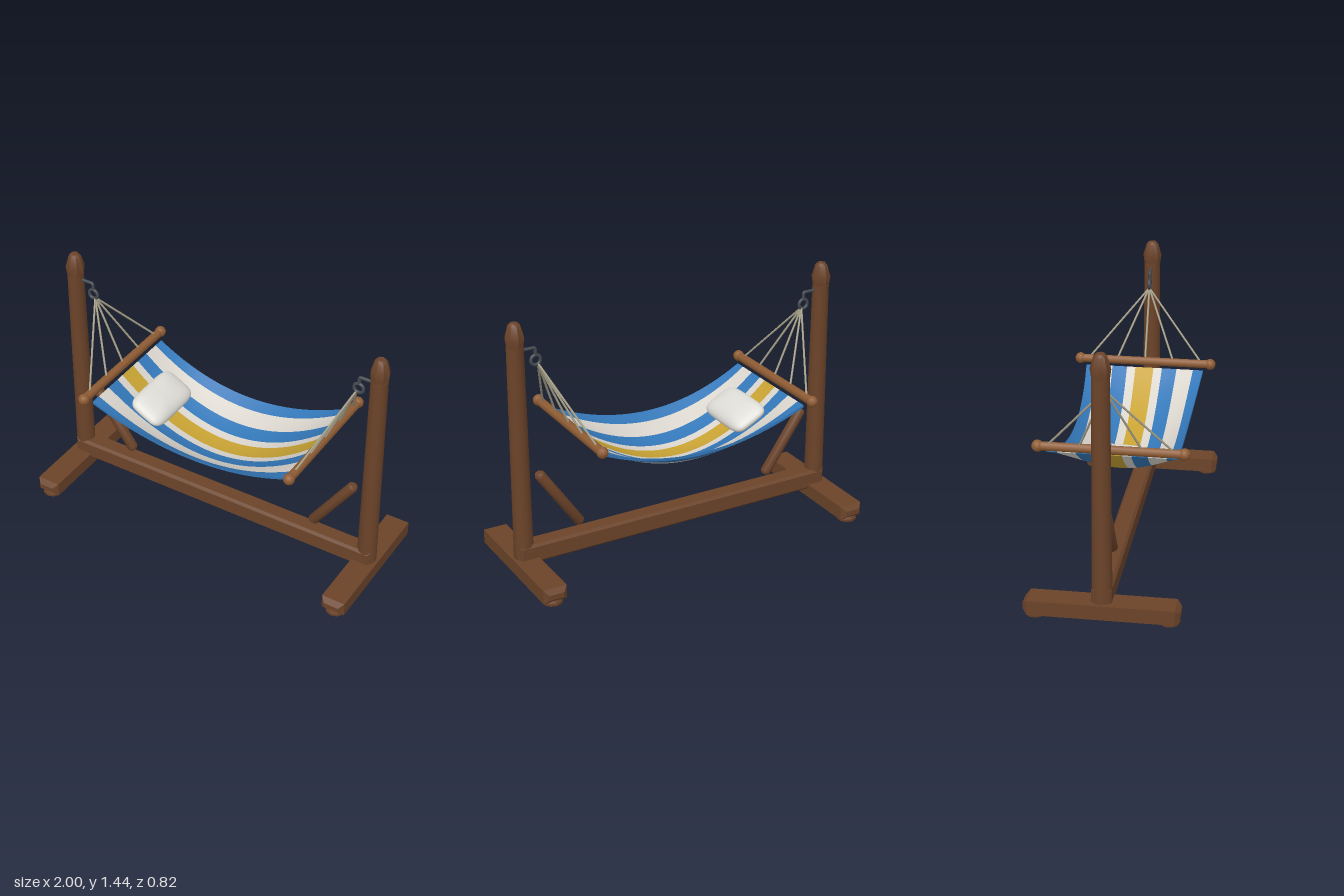
import * as THREE from 'three';
import { toCreasedNormals } from 'three/addons/utils/BufferGeometryUtils.js';

const mat = (color, side = THREE.FrontSide) => new THREE.MeshStandardMaterial({ color, side });
const wood = mat(0x6b4329), barWood = mat(0x8f5c34), metal = mat(0x454950);
const rope = mat(0xa59f88), pillowCloth = mat(0xdedcd6);
const blue = mat(0x3377b8), white = mat(0xd8d4cc), yellow = mat(0xc7a233);

function add(parent, name, geo, material, x = 0, y = 0, z = 0) {
  const m = new THREE.Mesh(geo, material);
  m.name = name;
  m.position.set(x, y, z);
  parent.add(m);
  return m;
}

// Box with chamfered edges
function chamferBox(w, h, d, c) {
  const a = w / 2 - c, b = h / 2 - c;
  const s = new THREE.Shape([[-a, -b], [a, -b], [a, b], [-a, b]].map(p => new THREE.Vector2(...p)));
  const g = new THREE.ExtrudeGeometry(s, {
    depth: d - 2 * c, bevelEnabled: true, bevelThickness: c, bevelSize: c, bevelSegments: 1,
  });
  return g.translate(0, 0, -d / 2 + c);
}

// Turned part from [radius, height] pairs
function turned(profile, sides) {
  const g = new THREE.LatheGeometry(profile.map(p => new THREE.Vector2(...p)), sides);
  return toCreasedNormals(g, 0.7);
}

// Thin rod between two points
function rod(parent, name, a, b, r, material) {
  const d = b.clone().sub(a);
  const m = add(parent, name, new THREE.CylinderGeometry(r, r, d.length(), 8), material);
  m.position.copy(a).addScaledVector(d, 0.5);
  m.quaternion.setFromUnitVectors(new THREE.Vector3(0, 1, 0), d.normalize());
  return m;
}

// Hanging sheet: u runs along the length, v across, both -1..1
const THICK = 0.016;
function sheetPoint(u, v) {
  const k = 1 - u * u;
  return new THREE.Vector3(0.61 * u, 0.777 - k * (0.15 + 0.127 * (1 - v * v)), v * (0.34 - 0.03 * k));
}

// One closed strip of the sheet between v0 and v1
function stripe(v0, v1) {
  const pos = [], idx = [], NU = 32, NV = 4, ring = 2 * (NV + 1);
  for (let i = 0; i <= NU; i++) {
    const u = -1 + 2 * i / NU;
    for (let j = 0; j < ring; j++) {
      const top = j <= NV, t = top ? j / NV : (ring - 1 - j) / NV;
      const p = sheetPoint(u, v0 + (v1 - v0) * t);
      pos.push(p.x, p.y - (top ? 0 : THICK), p.z);
    }
  }
  for (let i = 0; i < NU; i++) {
    for (let j = 0; j < ring; j++) {
      const a = i * ring + j, b = i * ring + (j + 1) % ring, c = a + ring, d = b + ring;
      idx.push(a, b, c, b, d, c);
    }
  }
  // End edges
  const e = NU * ring;
  for (let j = 0; j < NV; j++) {
    const k = ring - 1 - j;
    idx.push(j, k, j + 1, j + 1, k, k - 1);
    idx.push(e + j, e + j + 1, e + k, e + j + 1, e + k - 1, e + k);
  }
  const g = new THREE.BufferGeometry();
  g.setAttribute('position', new THREE.Float32BufferAttribute(pos, 3));
  g.setIndex(idx);
  return toCreasedNormals(g, 0.7);
}

// Cushion: sphere squared off in plan, with thin edges
function cushion(w, h, d) {
  const g = new THREE.SphereGeometry(1, 32, 20);
  const p = g.attributes.position;
  const sq = n => Math.sign(n) * Math.pow(Math.abs(n), 0.42);
  for (let i = 0; i < p.count; i++) {
    const x = p.getX(i), y = p.getY(i), z = p.getZ(i);
    const r = Math.hypot(x, z) || 1;
    const f = Math.pow(r, 0.8);
    p.setXYZ(i, sq(x / r) * f * w / 2, y * h / 2, sq(z / r) * f * d / 2);
  }
  g.computeVertexNormals();
  return g;
}

export function createModel() {
  const root = new THREE.Group();
  root.name = 'hammockWithStand';

  // Long beam along the ground
  add(root, 'beam', chamferBox(1.94, 0.11, 0.106, 0.014), wood, 0, 0.125, 0);

  for (const s of [1, -1]) {
    const side = s > 0 ? 'left' : 'right';
    const end = new THREE.Group();
    end.name = side + 'End';
    root.add(end);

    // Foot and pads
    add(end, 'foot', chamferBox(0.135, 0.08, 0.81, 0.025), wood, s * 0.932, 0.06, 0);
    for (const z of [0.345, -0.345]) {
      add(end, 'footPad', turned([[0, 0], [0.055, 0], [0.058, 0.014], [0.05, 0.03], [0, 0.03]], 10),
        wood, s * 0.932, 0, z);
    }

    // Post with a flared, pointed cap
    add(end, 'post', turned([[0, 0.09], [0.054, 0.09], [0.046, 1.31], [0, 1.31]], 12), wood, s * 0.932, 0, 0);
    add(end, 'postCap', turned([[0, 1.29], [0.046, 1.31], [0.053, 1.36], [0.034, 1.425], [0.022, 1.438], [0, 1.438]], 8),
      wood, s * 0.932, 0, 0);

    // Diagonal brace
    const brace = add(end, 'brace',
      turned([[0, -0.215], [0.019, -0.215], [0.03, -0.2], [0.03, 0.2], [0.019, 0.215], [0, 0.215]], 10),
      wood, s * 0.71, 0.395, 0);
    brace.rotation.z = s * -0.6;

    // Hook and ring
    const at = (x, y, z = 0) => new THREE.Vector3(s * x, y, z);
    const path = new THREE.CurvePath();
    path.add(new THREE.LineCurve3(at(0.9, 1.283), at(0.83, 1.283)));
    path.add(new THREE.QuadraticBezierCurve3(at(0.83, 1.283), at(0.819, 1.283), at(0.819, 1.272)));
    path.add(new THREE.LineCurve3(at(0.819, 1.272), at(0.819, 1.24)));
    add(end, 'hook', new THREE.TubeGeometry(path, 20, 0.009, 8), metal);
    add(end, 'ring', new THREE.TorusGeometry(0.027, 0.009, 8, 20), metal, s * 0.819, 1.215, 0);

    // Spreader bar with knobs
    rod(end, 'spreaderBar', at(0.64, 0.805, -0.385), at(0.64, 0.805, 0.385), 0.025, barWood);
    for (const z of [0.378, -0.378]) {
      add(end, 'barKnob', new THREE.SphereGeometry(0.032, 10, 8), barWood, s * 0.64, 0.805, z);
    }

    // Fan of ropes
    for (let i = -2; i <= 2; i++) {
      rod(end, 'rope', at(0.808, 1.195), at(0.64, 0.815, i * 0.162), 0.006, rope);
    }
  }

  // Striped sheet, symmetric about the middle
  const sheet = new THREE.Group();
  sheet.name = 'hammockSheet';
  root.add(sheet);
  add(sheet, 'centreStripe', stripe(-0.155, 0.155), yellow);
  const edges = [0.155, 0.3, 0.55, 0.83, 1];
  for (let i = 0; i < 4; i++) {
    const m = i % 2 ? blue : white;
    add(sheet, 'stripe', stripe(edges[i], edges[i + 1]), m);
    add(sheet, 'stripe', stripe(-edges[i + 1], -edges[i]), m);
  }

  // Pillow resting on the slope
  const pillow = add(root, 'pillow', cushion(0.225, 0.105, 0.38), pillowCloth, -0.385, 0.668, 0);
  pillow.rotation.z = -0.5;

  return root;
}
